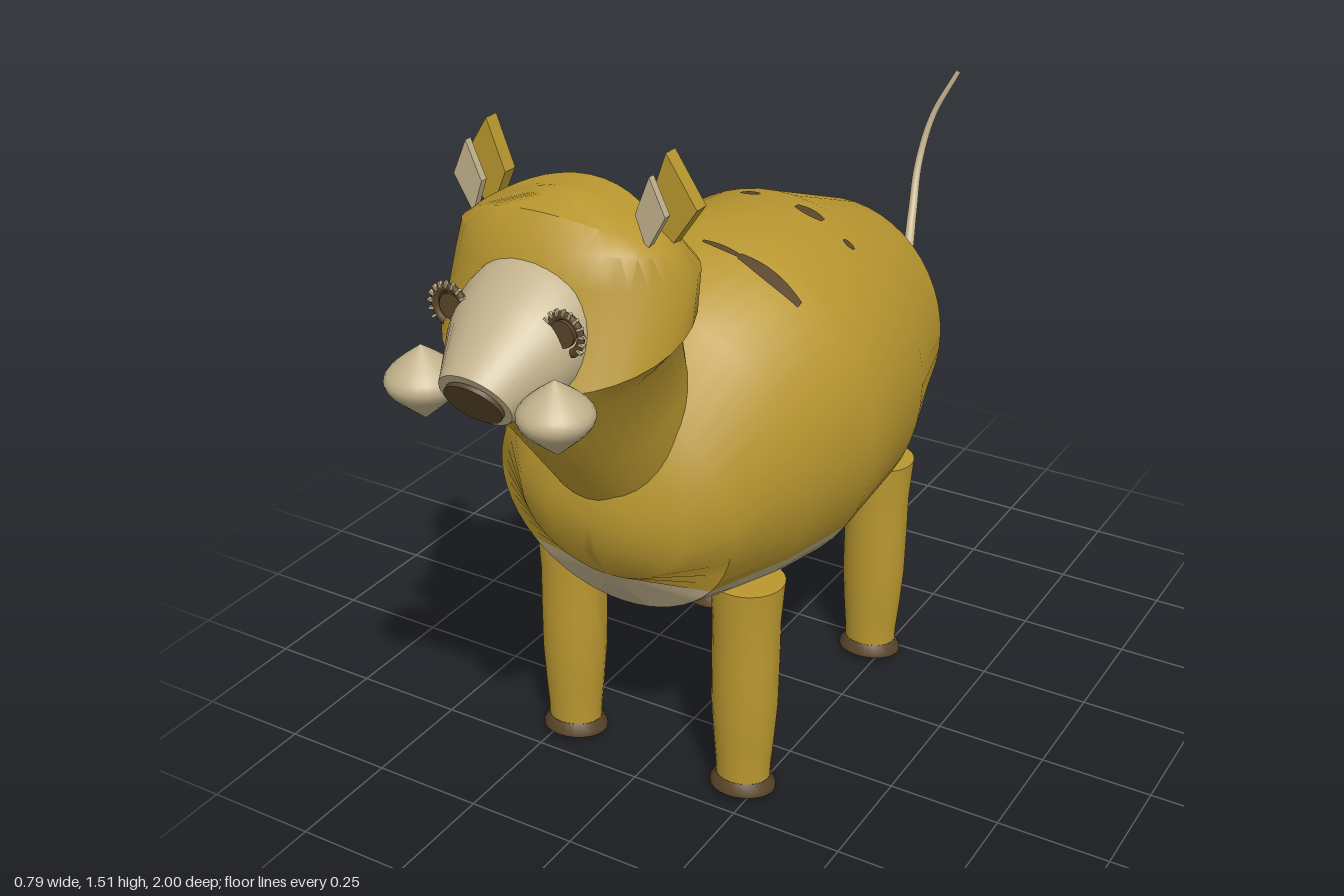
import * as THREE from 'three';
import { toCreasedNormals } from 'three/addons/utils/BufferGeometryUtils.js';

const V = (x, y, z) => new THREE.Vector3(x, y, z);
const BELLY_Y = 0.56;

function makeMaterial(name, color) {
  const m = new THREE.MeshStandardMaterial({ color });
  m.name = name;
  return m;
}

// Elliptic cross-section between two [z, y] points; droop lowers its sides.
function ring(p, q, hw, angles, droop = 0) {
  return angles.map(a => V(hw * Math.sin(a),
    (p[1] + q[1]) / 2 + (p[1] - q[1]) / 2 * Math.cos(a) - droop * Math.sin(a) ** 2,
    (p[0] + q[0]) / 2 + (p[0] - q[0]) / 2 * Math.cos(a)));
}

const span = (a, b, n) => Array.from({ length: n + 1 }, (_, i) => a + (b - a) * i / n);
const circle = span(0, Math.PI * 2, 36);

// Skins rows of points; columns from `split` on use the second material.
function skin(rows, crease, split = Infinity) {
  const n = rows[0].length, parts = [[], []];
  for (let i = 0; i < rows.length - 1; i++) {
    for (let j = 0; j < n - 1; j++) {
      const a = i * n + j, b = a + n;
      parts[j < split ? 0 : 1].push(a, b, a + 1, b, b + 1, a + 1);
    }
  }
  const g = new THREE.BufferGeometry().setFromPoints(rows.flat());
  g.setIndex(parts.flat());
  if (split < n) {
    g.addGroup(0, parts[0].length, 0);
    g.addGroup(parts[0].length, parts[1].length, 1);
  }
  return toCreasedNormals(g, crease);
}

// Body sections, rear to front: top [z, y], bottom [z, y], half width
const BODY = [
  [[-0.518, 0.745], [-0.518, 0.745], 0],
  [[-0.463, 0.937], [-0.434, 0.56], 0.179],
  [[-0.435, 1.04], [-0.39, 0.46], 0.275],
  [[-0.125, 1.16], [-0.1, 0.385], 0.37],
  [[0.165, 1.18], [0.16, 0.38], 0.395],
  [[0.448, 1.13], [0.31, 0.4], 0.35],
  [[0.57, 0.97], [0.518, 0.465], 0.275],
  [[0.604, 0.88], [0.575, 0.56], 0.195],
  [[0.636, 0.8], [0.636, 0.647], 0.1],
  [[0.638, 0.72], [0.638, 0.72], 0],
];

// Height of the back at x, z
function backY(x, z) {
  const i = BODY.findIndex(r => r[0][0] > z), [a, b] = [BODY[i - 1], BODY[i]];
  const t = (z - a[0][0]) / (b[0][0] - a[0][0]);
  const mix = f => f(a) + (f(b) - f(a)) * t;
  const top = mix(r => r[0][1]), bottom = mix(r => r[1][1]), hw = mix(r => r[2]);
  return (top + bottom) / 2 + (top - bottom) / 2 * Math.sqrt(1 - (x / hw) ** 2);
}

// Lathe for legs and hooves, leaning and tilted towards the foot
function legGeometry(profile) {
  const g = new THREE.LatheGeometry(profile.map(p => new THREE.Vector2(...p)), 24);
  const pos = g.attributes.position;
  for (let i = 0; i < pos.count; i++) {
    const y = pos.getY(i), z = pos.getZ(i) * 0.93;
    pos.setZ(i, z + (1 - y / 0.515) * 0.023);
    pos.setY(i, y + Math.max(0, 1 - y / 0.3) * (z * 0.13 + 0.01));
  }
  return toCreasedNormals(g, 0.7);
}

function diamond(points, s, depth) {
  const shape = new THREE.Shape(points.map(([x, y]) => new THREE.Vector2(x * s, y)));
  return new THREE.ExtrudeGeometry(shape, { depth, bevelEnabled: false });
}

export function createModel() {
  const model = new THREE.Group();
  const coat = makeMaterial('golden coat', 0xb8962f);
  const pale = makeMaterial('pale tan', 0xc2b28c);
  const dark = makeMaterial('dark brown', 0x5a452a);

  const add = (name, geometry, material, x = 0, y = 0, z = 0, parent = model) => {
    const mesh = new THREE.Mesh(geometry, material);
    mesh.name = name;
    mesh.position.set(x, y, z);
    parent.add(mesh);
    return mesh;
  };

  // Barrel body with a pale belly
  const bodyRows = BODY.map(([p, q, hw]) => {
    const c = (BELLY_Y - (p[1] + q[1]) / 2) / Math.max((p[1] - q[1]) / 2, 1e-6);
    const a = Math.acos(THREE.MathUtils.clamp(c, -1, 1));
    return ring(p, q, hw, [...span(-a, a, 36), ...span(a, Math.PI * 2 - a, 16).slice(1)]);
  });
  add('body', skin(bodyRows, 0.75, 36), [coat, pale]);

  // Broken stripes over the back
  for (const [x0, x1, z, h] of [[-0.235, -0.19, -0.06, 0.01], [-0.055, -0.01, -0.065, 0.012],
    [0.08, 0.145, -0.065, 0.018], [0.2, 0.225, -0.055, 0.01], [-0.09, -0.045, 0.23, 0.015],
    [0.025, 0.12, 0.23, 0.008], [0.11, 0.25, 0.23, 0.018]]) {
    const rows = [-1, 1].map(e => span(0, 1, 8).map(t => {
      const x = x0 + (x1 - x0) * t, zz = z + e * h * (0.5 + 0.5 * Math.sin(Math.PI * t));
      return V(x, backY(x, zz) + 0.006, zz);
    }));
    add('backStripe', skin(rows, 0.7), dark);
  }

  // Neck and head in one skin: back [z, y], front [z, y], half width, droop
  const headRows = [
    [[0.4, 0.97], [0.6, 0.72], 0.155],
    [[0.42, 1.07], [0.73, 0.885], 0.172],
    [[0.445, 1.18], [0.86, 1.05], 0.19],
    [[0.455, 1.25], [0.885, 1.11], 0.25],
    [[0.46, 1.285], [0.81, 1.3], 0.246, 0.01],
    [[0.52, 1.355], [0.795, 1.365], 0.222, 0.02],
    [[0.585, 1.425], [0.755, 1.41], 0.185, 0.05],
    [[0.65, 1.425], [0.69, 1.42], 0.04, 0.002],
    [[0.67, 1.424], [0.67, 1.424], 0],
  ].map(([p, q, hw, droop]) => ring(p, q, hw, circle, droop));
  add('neckAndHead', skin(headRows, 0.65), coat);

  // Muzzle with a nose on its slanted end
  const muzzleRows = [
    [[0.78, 1.34], [0.78, 1.07], 0.14],
    [[0.82, 1.328], [0.85, 1.06], 0.138],
    [[0.88, 1.285], [0.885, 1.06], 0.122],
    [[0.997, 1.185], [0.93, 1.065], 0.075],
    [[0.964, 1.125], [0.964, 1.125], 0],
  ].map(([p, q, hw]) => ring(p, q, hw, circle));
  add('muzzle', skin(muzzleRows, 0.7), pale);
  const nose = add('nose', new THREE.CylinderGeometry(0.06, 0.06, 0.009, 28), dark, 0, 1.122, 0.967);
  nose.rotation.x = 2.105;
  nose.scale.z = 0.88;

  const cheek = new THREE.LatheGeometry(new THREE.SplineCurve([[0, -0.075], [0.035, -0.045],
    [0.066, -0.014], [0.07, 0.012], [0.045, 0.04], [0, 0.073]]
    .map(p => new THREE.Vector2(...p))).getPoints(14), 24);
  const legProfile = [[0.06, 0.02], [0.061, 0.06], [0.067, 0.13], [0.073, 0.22],
    [0.074, 0.33], [0.074, 0.42], [0.081, 0.515], [0, 0.515]];
  const legShape = legGeometry(legProfile);
  const hoofShape = legGeometry([[0, 0], [0.073, 0], [0.073, 0.008], [0.061, 0.03], [0, 0.03]]);

  for (const s of [-1, 1]) {
    const side = s > 0 ? 'left' : 'right';
    add(side + 'Cheek', cheek, pale, s * 0.145, 1.113, 0.926);

    // Ears: coat plate behind, pale plate in front
    add(side + 'Ear', diamond([[0.195, 1.515], [0.258, 1.418], [0.196, 1.33], [0.158, 1.415]], s, 0.032),
      coat, 0, 0, 0.6);
    add(side + 'InnerEar', diamond([[0.198, 1.49], [0.23, 1.42], [0.19, 1.35], [0.167, 1.415]], s, 0.016),
      pale, 0, 0, 0.677);

    // Eyes: pupil, open rim and lashes
    const eye = new THREE.Group();
    eye.name = side + 'Eye';
    eye.position.set(s * 0.125, 1.24, 0.86);
    eye.scale.x = s;
    model.add(eye);
    add('pupil', new THREE.CylinderGeometry(0.026, 0.026, 0.009, 20).rotateX(Math.PI / 2),
      dark, -0.005, 0, 0, eye);
    add('eyeRim', new THREE.TorusGeometry(0.033, 0.008, 8, 24, 4).rotateZ(-1.2).scale(1, 1.1, 0.8),
      dark, 0, 0, 0, eye);
    for (const a of span(-0.6, 2.6, 9)) {
      const lash = add('lash', new THREE.BoxGeometry(0.012, 0.005, 0.008), pale,
        0.039 * Math.cos(a), 0.043 * Math.sin(a), 0.004, eye);
      lash.rotation.z = a;
    }

    // Legs and hooves
    for (const [end, z] of [['Front', 0.383], ['Rear', -0.228]]) {
      add(side + end + 'Leg', legShape, coat, s * 0.218, 0, z);
      add(side + end + 'Hoof', hoofShape, dark, s * 0.218, 0, z);
    }
  }

  // Tapering tail
  const path = new THREE.CatmullRomCurve3([V(0.01, 0.757, -0.5), V(0.02, 0.733, -0.65),
    V(0.012, 0.762, -0.77), V(-0.018, 0.85, -0.865), V(-0.036, 0.96, -0.93),
    V(-0.02, 1.08, -0.97), V(0.035, 1.2, -0.995)]);
  const tail = new THREE.TubeGeometry(path, 40, 0.018, 10);
  const pos = tail.attributes.position, v = V(0, 0, 0);
  for (let i = 0; i < pos.count; i++) {
    const t = Math.floor(i / 11) / 40, c = path.getPointAt(t);
    v.fromBufferAttribute(pos, i).sub(c).multiplyScalar(1 - 0.65 * t).add(c);
    pos.setXYZ(i, v.x, v.y, v.z);
  }
  add('tail', tail, pale);

  return model;
}
